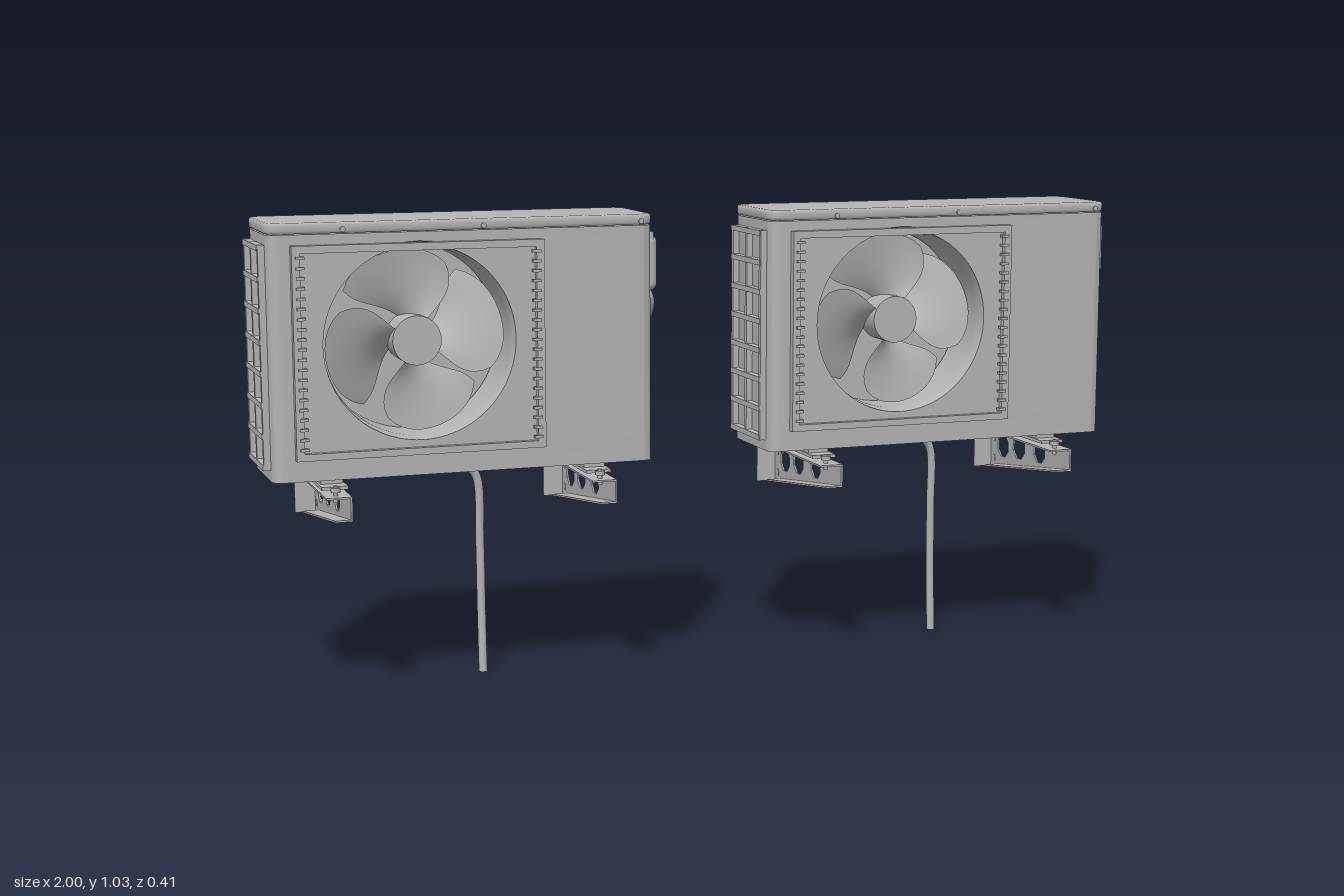
import * as THREE from 'three';
import { toCreasedNormals } from 'three/addons/utils/BufferGeometryUtils.js';
import { RoundedBoxGeometry } from 'three/addons/geometries/RoundedBoxGeometry.js';

const grey = new THREE.MeshStandardMaterial({ color: 0xb4b4b4, side: THREE.DoubleSide });
grey.name = 'painted grey metal';

function add(parent, name, geo, x = 0, y = 0, z = 0) {
  const m = new THREE.Mesh(geo, grey);
  m.name = name;
  m.position.set(x, y, z);
  parent.add(m);
  return m;
}
// box given by its min and max corners
function block(parent, name, x0, x1, y0, y1, z0, z1) {
  return add(parent, name, new THREE.BoxGeometry(x1 - x0, y1 - y0, z1 - z0),
    (x0 + x1) / 2, (y0 + y1) / 2, (z0 + z1) / 2);
}
function tube(parent, name, pts, r, seg = 40) {
  const curve = new THREE.CatmullRomCurve3(pts.map(p => new THREE.Vector3(...p)));
  return add(parent, name, new THREE.TubeGeometry(curve, seg, r, 10));
}
// cylinder along x ('x'), y ('y') or z ('z')
function rod(parent, name, axis, r, len, x, y, z, sides = 16) {
  const g = new THREE.CylinderGeometry(r, r, len, sides);
  if (axis === 'x') g.rotateZ(Math.PI / 2);
  if (axis === 'z') g.rotateX(Math.PI / 2);
  return add(parent, name, g, x, y, z);
}
function rectPath(target, x0, x1, y0, y1) {
  target.moveTo(x0, y0);
  target.lineTo(x1, y0);
  target.lineTo(x1, y1);
  target.lineTo(x0, y1);
  target.closePath();
  return target;
}
function extrude(shape, depth, extra = {}) {
  const g = new THREE.ExtrudeGeometry(shape, { depth, bevelEnabled: false, curveSegments: 10, ...extra });
  return toCreasedNormals(g, 0.6);
}

// cabinet footprint with rounded corners; the notch makes room for the fan
function footprint(notch, grow = 0) {
  const w = 0.418 + grow, f = -0.15 - grow, b = 0.073 + grow, r = 0.028;
  const s = new THREE.Shape();
  s.moveTo(-w + r, f);
  if (notch) {
    s.lineTo(-0.35, f);
    s.lineTo(-0.35, -0.02);
    s.lineTo(0.15, -0.02);
    s.lineTo(0.15, f);
  }
  s.lineTo(w - r, f);
  s.quadraticCurveTo(w, f, w, f + r);
  s.lineTo(w, b - r);
  s.quadraticCurveTo(w, b, w - r, b);
  s.lineTo(-w + r, b);
  s.quadraticCurveTo(-w, b, -w, b - r);
  s.lineTo(-w, f + r);
  s.quadraticCurveTo(-w, f, -w + r, f);
  return s;
}

function makeCabinet(unit) {
  const g = new THREE.Group();
  g.name = 'cabinet';
  for (const [y0, y1, notch] of [[0.49, 0.545, false], [0.545, 0.975, true], [0.975, 1.006, false]]) {
    add(g, 'cabinetShell', extrude(footprint(notch), y1 - y0).rotateX(-Math.PI / 2), 0, y0, 0);
  }
  const lid = extrude(footprint(false, -0.004), 0.013, {
    bevelEnabled: true, bevelThickness: 0.005, bevelSize: 0.006, bevelSegments: 3 });
  add(g, 'lid', lid.rotateX(-Math.PI / 2), 0, 1.012, 0);
  for (const x of [-0.26, 0.04, 0.39]) rod(g, 'lidScrew', 'z', 0.006, 0.006, x, 1.015, 0.152, 10);
  // rear coil and its frame
  block(g, 'rearCoil', -0.34, 0.25, 0.523, 0.975, -0.081, -0.07);
  for (const x of [-0.352, 0.262]) block(g, 'coilEdge', x - 0.005, x + 0.005, 0.51, 0.985, -0.078, -0.07);
  // guard lattice on the coil end
  for (const z of [-0.05, 0.035, 0.12]) block(g, 'guardPost', -0.432, -0.416, 0.515, 0.985, z - 0.006, z + 0.006);
  for (let i = 0; i <= 7; i++) {
    const y = 0.52 + i * 0.0655;
    block(g, 'guardBar', -0.434, -0.416, y - 0.006, y + 0.006, -0.054, 0.124);
  }
  unit.add(g);
}

function makeFan(unit) {
  const g = new THREE.Group();
  g.name = 'fan';
  g.position.set(-0.1, 0.773, 0);
  // front plate with round opening
  const plate = rectPath(new THREE.Shape(), -0.27, 0.268, -0.237, 0.211);
  plate.holes.push(new THREE.Path().absarc(0, 0, 0.207, 0, Math.PI * 2, true));
  add(g, 'fanPlate', extrude(plate, 0.008, { curveSegments: 48 }), 0, 0, 0.146);
  // raised grille frame and wire ends
  const frame = rectPath(new THREE.Shape(), -0.27, 0.268, -0.237, 0.211);
  frame.holes.push(rectPath(new THREE.Path(), -0.253, 0.251, -0.222, 0.195));
  add(g, 'grilleFrame', extrude(frame, 0.015), 0, 0, 0.152);
  for (let i = 0; i < 20; i++) {
    for (const x of [-0.253, 0.251]) {
      const y = -0.213 + i * 0.021;
      block(g, 'grilleWireEnd', x - 0.009, x + 0.009, y - 0.003, y + 0.003, 0.16, 0.171);
    }
  }
  // shroud
  const profile = [[0.214, 0.154], [0.207, 0.148], [0.202, 0.12], [0.2, 0.025]].map(p => new THREE.Vector2(...p));
  add(g, 'shroud', new THREE.LatheGeometry(profile, 48).rotateX(Math.PI / 2));
  // hub
  rod(g, 'hub', 'z', 0.053, 0.075, 0, 0, 0.083, 28);
  // swept, twisted blades
  for (let k = 0; k < 4; k++) {
    const geo = new THREE.PlaneGeometry(1, 1, 12, 10);
    const p = geo.attributes.position;
    for (let i = 0; i < p.count; i++) {
      const u = p.getX(i), v = p.getY(i) + 0.5;
      const round = 1 - 0.13 * Math.pow(Math.abs(2 * u), 3);
      const r = 0.045 + 0.15 * v * round;
      const a = 1.55 + k * Math.PI / 2 + u * (0.95 + 0.55 * Math.sin(v * 2.4)) + 0.3 * v;
      const z = 0.08 - u * 0.065 + 0.012 * Math.cos(u * Math.PI) * v;
      p.setXYZ(i, r * Math.cos(a), r * Math.sin(a), z);
    }
    geo.computeVertexNormals();
    add(g, 'fanBlade', geo);
  }
  unit.add(g);
}

function makeBracket(unit, x) {
  const g = new THREE.Group();
  g.name = 'wallBracket';
  g.position.x = x;
  // tapered web with octagonal holes, drawn as (-z, y)
  const web = new THREE.Shape([[-0.207, 0.41], [0.19, 0.358], [0.19, 0.463], [-0.207, 0.463]]
    .map(p => new THREE.Vector2(...p)));
  for (const [z, y, r] of [[-0.06, 0.433, 0.029], [0.043, 0.427, 0.031], [0.125, 0.417, 0.029]]) {
    const hole = new THREE.Path();
    for (let i = 0; i < 8; i++) {
      const a = -(i + 0.5) * Math.PI / 4;
      hole[i ? 'lineTo' : 'moveTo'](z + r * Math.cos(a), y + r * Math.sin(a));
    }
    hole.closePath();
    web.holes.push(hole);
  }
  add(g, 'armWeb', extrude(web, 0.004).rotateY(Math.PI / 2), 0.022, 0, 0);
  block(g, 'armTopFlange', -0.029, 0.024, 0.459, 0.463, -0.155, 0.207);
  const lower = add(g, 'armLowerFlange', new THREE.BoxGeometry(0.036, 0.004, 0.365), 0.006, 0.389, 0.026);
  lower.rotation.x = -Math.atan2(0.052, 0.397);
  // wall upright
  block(g, 'uprightBack', -0.024, 0.026, 0.358, 0.755, -0.192, -0.188);
  block(g, 'uprightSide', 0.022, 0.026, 0.358, 0.755, -0.19, -0.155);
  for (const y of [0.38, 0.43]) rod(g, 'armBolt', 'x', 0.009, 0.014, 0.028, y, -0.172, 6);
  // foot rail and bolts under the cabinet
  block(g, 'footRail', -0.03, 0.026, 0.472, 0.479, -0.095, 0.165);
  block(g, 'footPad', -0.025, 0.022, 0.476, 0.492, -0.06, 0.13);
  for (const z of [-0.1, 0.18]) {
    rod(g, 'footBolt', 'y', 0.005, 0.035, -0.004, 0.466, z, 10);
    rod(g, 'footNut', 'y', 0.011, 0.01, -0.004, 0.475, z, 6);
  }
  unit.add(g);
}

function makeConnections(unit) {
  const g = new THREE.Group();
  g.name = 'connections';
  // terminal cover on its backing plate
  add(g, 'coverPlate', new RoundedBoxGeometry(0.008, 0.175, 0.125, 3, 0.004), 0.419, 0.918, 0.045);
  add(g, 'terminalCover', new RoundedBoxGeometry(0.045, 0.125, 0.106, 4, 0.018), 0.427, 0.918, 0.043);
  block(g, 'coverHood', 0.416, 0.438, 0.968, 0.987, -0.008, 0.094);
  // service valves
  for (const y of [0.62, 0.56]) {
    rod(g, 'valveBody', 'x', 0.011, 0.028, 0.43, y, 0.028, 12);
    rod(g, 'valveCap', 'y', 0.008, 0.036, 0.436, y, 0.024, 10);
    rod(g, 'valvePort', 'z', 0.006, 0.045, 0.436, y, 0.024, 10);
  }
  for (const z of [0.105, -0.045]) rod(g, 'sideScrew', 'x', 0.007, 0.008, 0.42, 0.51, z, 10);
  // cables and copper runs gathering at the wall pipe
  for (const d of [0, 0.014]) {
    tube(g, 'cable', [[0.435, 0.862, 0.05 + d], [0.447, 0.83, 0.045 + d], [0.449, 0.76, -0.02 + d],
      [0.432, 0.685, -0.095 + d], [0.38, 0.65, -0.13 + d / 2], [0.325, 0.627, -0.135]], 0.0045);
  }
  tube(g, 'refrigerantLine', [[0.432, 0.565, 0.005], [0.445, 0.575, -0.02], [0.425, 0.605, -0.09],
    [0.38, 0.622, -0.125], [0.325, 0.627, -0.133]], 0.003);
  // insulated pipe to the wall
  tube(g, 'insulatedPipe', [[0.33, 0.634, -0.135], [0.315, 0.6, -0.128], [0.25, 0.565, -0.124],
    [0.16, 0.548, -0.124], [0.09, 0.53, -0.134], [0.045, 0.51, -0.16], [0.03, 0.5, -0.198]], 0.016, 50);
  rod(g, 'wallFlange', 'z', 0.034, 0.013, 0.03, 0.5, -0.2, 24);
  // drain elbow and hose
  rod(g, 'drainCollar', 'y', 0.02, 0.014, -0.012, 0.487, -0.02, 20);
  tube(g, 'drainHose', [[-0.012, 0.488, -0.02], [0, 0.475, -0.02], [0.04, 0.469, -0.02], [0.061, 0.445, -0.022],
    [0.068, 0.3, -0.028], [0.069, 0.15, -0.027], [0.068, 0.001, -0.016]], 0.0095, 60);
  unit.add(g);
}

export function createModel() {
  const model = new THREE.Group();
  model.name = 'outdoorCondenserPair';
  for (const x of [-0.566, 0.544]) {
    const unit = new THREE.Group();
    unit.name = 'condenserUnit';
    unit.position.x = x;
    makeCabinet(unit);
    makeFan(unit);
    for (const bx of [-0.29, 0.288]) makeBracket(unit, bx);
    makeConnections(unit);
    model.add(unit);
  }
  return model;
}
